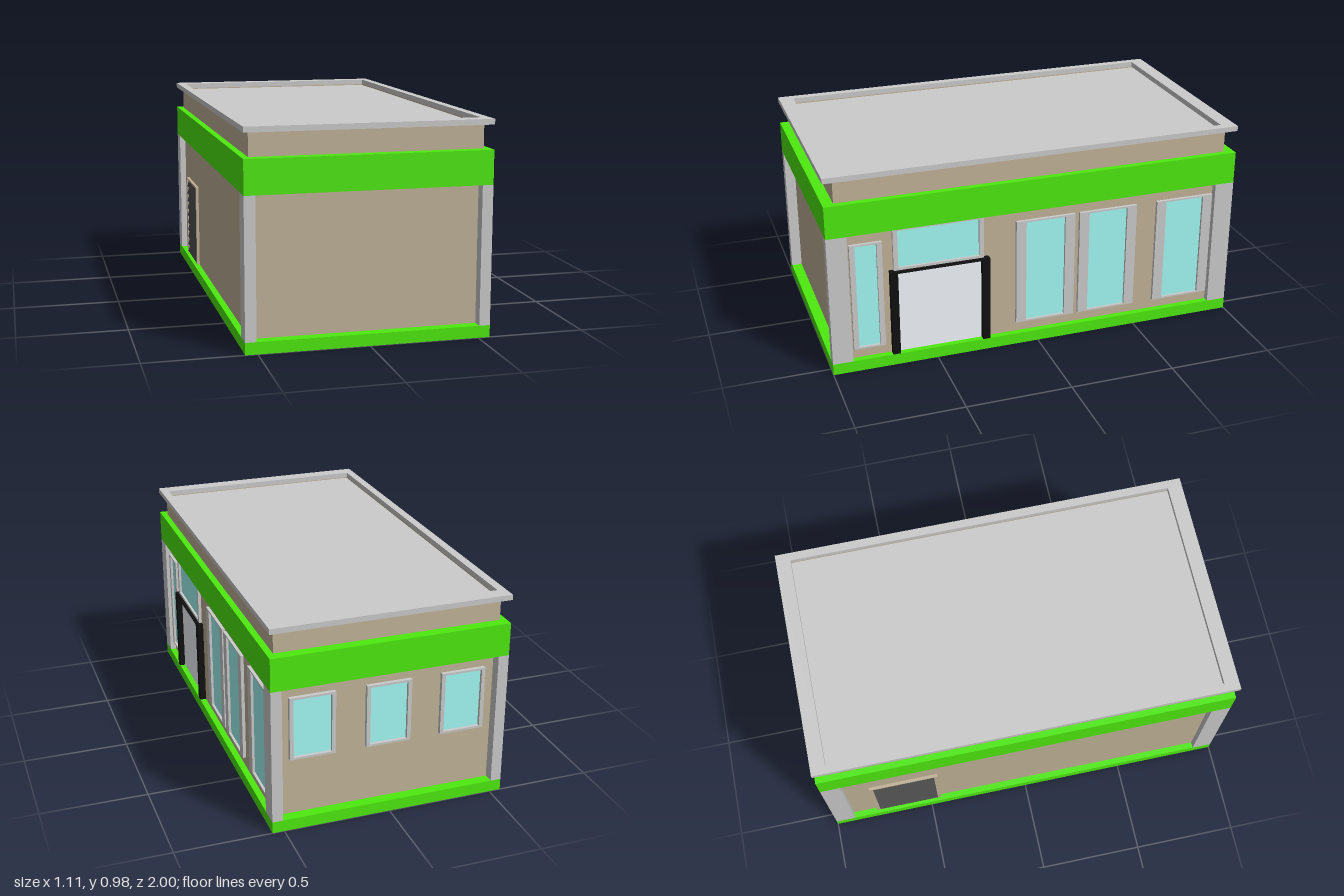
import * as THREE from 'three';

const paint = (color) => new THREE.MeshStandardMaterial({ color });

export function createModel() {
  const building = new THREE.Group();
  building.name = 'building';
  const grey = paint(0xcccccc), tan = paint(0xc1b398), green = paint(0x4eea0f);
  const glass = paint(0xa3fbf7), black = paint(0x111111), white = paint(0xf3f7fd), dark = paint(0x505050);

  function add(parent, name, geometry, material) {
    const mesh = new THREE.Mesh(geometry, material);
    mesh.name = name;
    parent.add(mesh);
    return mesh;
  }

  // Box given by its limits on each axis
  function box(parent, name, material, [x0, x1], [y0, y1], [z0, z1]) {
    const g = new THREE.BoxGeometry(x1 - x0, y1 - y0, z1 - z0);
    g.translate((x0 + x1) / 2, (y0 + y1) / 2, (z0 + z1) / 2);
    return add(parent, name, g, material);
  }

  // Horizontal rectangular ring: outer and inner half sizes, bottom and top
  function ring(name, material, ox, oz, ix, iz, y0, y1) {
    const shape = new THREE.Shape([[-ox, -oz], [ox, -oz], [ox, oz], [-ox, oz]].map((p) => new THREE.Vector2(...p)));
    shape.holes.push(new THREE.Path([[-ix, -iz], [-ix, iz], [ix, iz], [ix, -iz]].map((p) => new THREE.Vector2(...p))));
    const g = new THREE.ExtrudeGeometry(shape, { depth: y1 - y0, bevelEnabled: false });
    g.rotateX(-Math.PI / 2).translate(0, y0, 0);
    add(building, name, g, material);
  }

  // Shell: plinth, walls, band and roof rim, open underneath
  ring('plinth', green, 0.555, 1, 0.505, 0.905, 0, 0.055);
  ring('walls', tan, 0.525, 0.95, 0.515, 0.935, 0.05, 0.955);
  ring('band', green, 0.555, 1, 0.505, 0.905, 0.69, 0.845);
  ring('roofRim', grey, 0.555, 1, 0.515, 0.93, 0.955, 0.98);
  box(building, 'roofDeck', grey, [-0.518, 0.518], [0.93, 0.95], [-0.938, 0.938]);

  // Corner columns
  for (const sx of [-1, 1]) {
    for (const sz of [-1, 1]) {
      const column = box(building, 'column', grey, [-0.025, 0.025], [0.055, 0.69], [-0.0475, 0.0475]);
      column.position.set(sx * 0.53, 0, sz * 0.9525);
    }
  }

  // Wall faces: local +z points outward, z = 0 lies on the wall surface
  function face(name, angle, distance) {
    const group = new THREE.Group();
    group.name = name;
    group.rotation.y = angle;
    group.position.set(Math.sin(angle) * distance, 0, Math.cos(angle) * distance);
    building.add(group);
    return group;
  }

  // Frame of two jambs, a head and an optional sill around a panel
  function opening(parent, name, [x0, x1], [y0, y1], jamb, head, sill, depth, frameMat, panelMat) {
    const group = new THREE.Group();
    group.name = name;
    parent.add(group);
    const z = [-0.012, depth];
    box(group, 'jamb', frameMat, [x0, x0 + jamb], [y0, y1], z);
    box(group, 'jamb', frameMat, [x1 - jamb, x1], [y0, y1], z);
    box(group, 'head', frameMat, [x0 + jamb, x1 - jamb], [y1 - head, y1], z);
    if (sill) box(group, 'sill', frameMat, [x0 + jamb, x1 - jamb], [y0, y0 + sill], z);
    if (panelMat) box(group, 'panel', panelMat, [x0 + jamb, x1 - jamb], [y0 + sill, y1 - head], [-0.012, 0.003]);
    return group;
  }

  // Shopfront side: narrow window, entrance with transom, three tall windows
  const shop = face('shopSide', Math.PI / 2, 0.525);
  opening(shop, 'narrowWindow', [-0.895, -0.745], [0.105, 0.635], 0.025, 0.008, 0.008, 0.015, grey, glass);
  for (const x of [0.04, 0.355, 0.7525]) {
    opening(shop, 'tallWindow', [x - 0.146, x + 0.146], [0.105, 0.635], 0.049, 0.008, 0.008, 0.015, grey, glass);
  }
  opening(shop, 'transomWindow', [-0.695, -0.265], [0.48, 0.685], 0.022, 0.008, 0.012, 0.015, grey, glass);
  opening(shop, 'entrance', [-0.715, -0.24], [0.055, 0.48], 0.036, 0.01, 0, 0.03, black, white);

  // Back: three small windows
  const back = face('backSide', Math.PI, 0.95);
  for (const x of [-0.355, 0, 0.355]) {
    opening(back, 'backWindow', [x - 0.106, x + 0.106], [0.33, 0.63], 0.018, 0.01, 0.01, 0.018, grey, glass);
  }

  // Far side: slatted service door
  const service = face('serviceSide', -Math.PI / 2, 0.525);
  const door = opening(service, 'serviceDoor', [-0.785, -0.445], [0.055, 0.475], 0.018, 0.01, 0, 0.014, tan, dark);
  const slats = 10, step = 0.41 / slats;
  for (let i = 0; i < slats; i++) {
    const slat = box(door, 'slat', dark, [-0.152, 0.152], [-step * 0.46, step * 0.46], [-0.004, 0.004]);
    slat.position.set(-0.615, 0.055 + step * (i + 0.5), 0.005);
    slat.rotation.x = -0.25;
  }

  return building;
}
